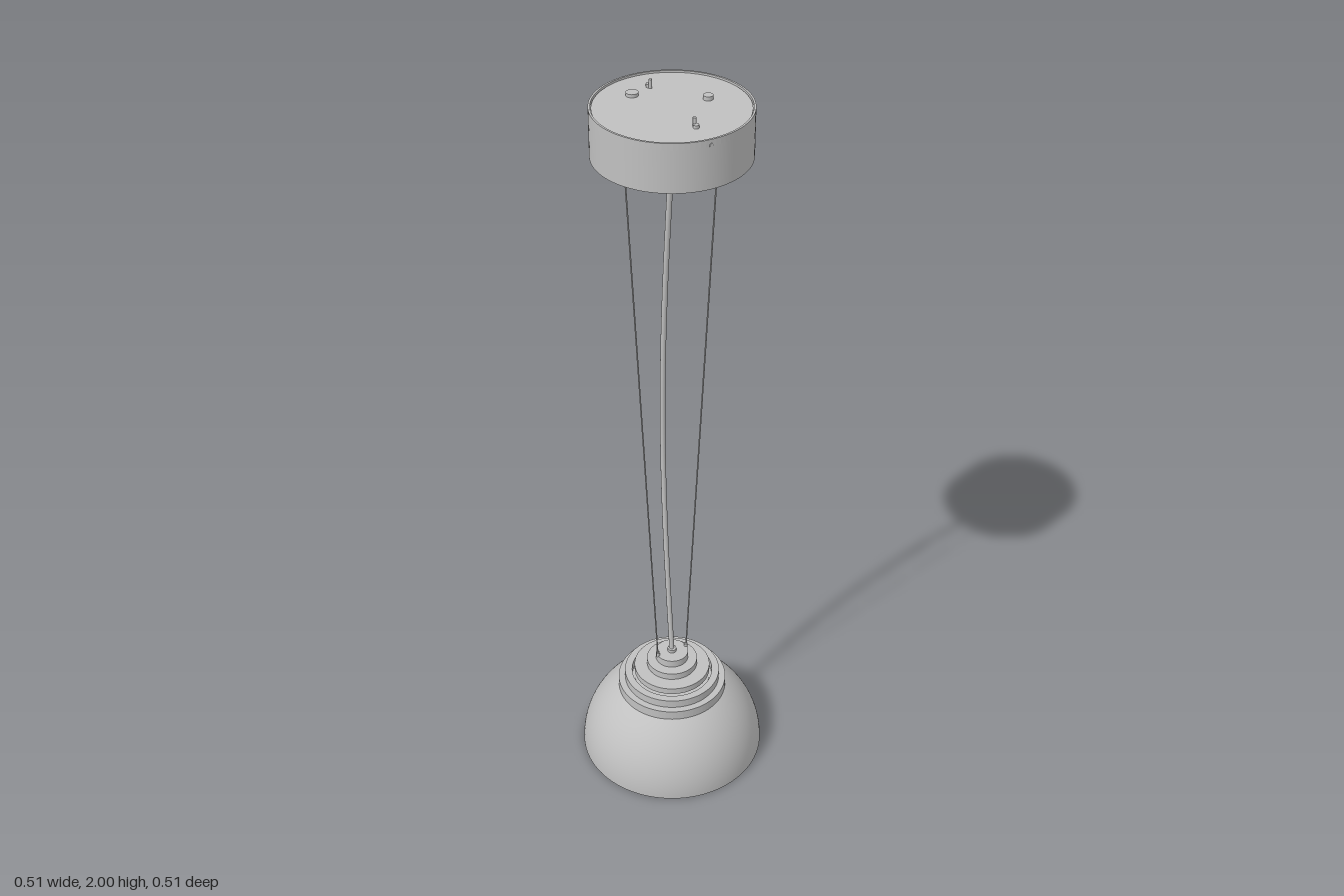
import * as THREE from 'three';

export function createModel() {
  const lamp = new THREE.Group();
  lamp.name = 'pendantLamp';
  const grey = new THREE.MeshStandardMaterial({ color: 0xc0c0c0 });
  grey.name = 'satin grey';

  const add = (name, geometry, x = 0, y = 0, z = 0) => {
    const mesh = new THREE.Mesh(geometry, grey);
    mesh.name = name;
    mesh.position.set(x, y, z);
    lamp.add(mesh);
    return mesh;
  };
  // Upright cylinder given by its bottom and top heights
  const disc = (name, r, y0, y1, x = 0, z = 0, sides = 64) =>
    add(name, new THREE.CylinderGeometry(r, r, y1 - y0, sides), x, (y0 + y1) / 2, z);
  // Ring with a rectangular section, hard edges kept by separate wall faces
  const ring = (name, ri, ro, y0, y1) => {
    const shape = new THREE.Shape().absarc(0, 0, ro, 0, Math.PI * 2);
    shape.holes.push(new THREE.Path().absarc(0, 0, ri, 0, Math.PI * 2, true));
    const g = new THREE.ExtrudeGeometry(shape, { depth: y1 - y0, bevelEnabled: false, curveSegments: 48 });
    g.rotateX(-Math.PI / 2);
    return add(name, g, 0, y0, 0);
  };
  // Arc of a dome from radius r at the rim up to height top
  const dome = (r, top) => {
    const end = Math.asin(top / r), pts = [];
    for (let i = 0; i <= 24; i++) {
      const a = (end * i) / 24;
      pts.push(new THREE.Vector2(r * Math.cos(a), r * Math.sin(a)));
    }
    return pts;
  };

  // Thick hemispherical shade: outside, inside and flat lower rim
  add('shadeOutside', new THREE.LatheGeometry(dome(0.254, 0.207), 96));
  add('shadeInside', new THREE.LatheGeometry(dome(0.226, 0.205).reverse(), 96));
  add('shadeRim', new THREE.RingGeometry(0.226, 0.254, 96).rotateX(Math.PI / 2));

  // Stepped vented crown
  ring('crownBaseRing', 0.095, 0.15, 0.205, 0.233);
  ring('crownUpperRing', 0.112, 0.132, 0.233, 0.257);
  disc('crownFloor', 0.105, 0.222, 0.236);
  disc('crownWideStep', 0.105, 0.258, 0.277);
  disc('crownMiddleStep', 0.07, 0.28, 0.3);
  disc('crownTopStep', 0.045, 0.303, 0.325);
  disc('crownCore', 0.035, 0.23, 0.31);

  // Lamp stem with its lower diffuser disc
  disc('lampStem', 0.017, 0.02, 0.225, 0, 0, 32);
  ring('diffuserDisc', 0.01, 0.07, 0.006, 0.022);

  // Ceiling canopy: body, raised lip and slightly sunken lid
  disc('canopyBody', 0.19, 1.86, 1.965, 0, 0, 96);
  ring('canopyLip', 0.185, 0.19, 1.965, 1.982);
  disc('canopyLid', 0.183, 1.965, 1.978, 0, 0, 96);
  disc('lidBossSide', 0.012, 1.978, 1.988, 0.092, 0, 24);
  disc('lidBossRear', 0.015, 1.978, 1.986, -0.054, -0.095, 24);

  for (const s of [1, -1]) {
    // Mounting studs and side screws, front and back
    disc('mountingStud', 0.004, 1.978, 2, 0, s * 0.11, 12);
    disc('studNut', 0.007, 1.978, 1.986, 0, s * 0.118, 12);
    add('canopyScrew', new THREE.CylinderGeometry(0.005, 0.005, 0.006, 16).rotateX(Math.PI / 2), 0, 1.968, s * 0.189);

    // Suspension wires with grips
    const wire = new THREE.LineCurve3(
      new THREE.Vector3(s * 0.043, 0.31, 0), new THREE.Vector3(s * 0.122, 1.862, 0));
    add('suspensionWire', new THREE.TubeGeometry(wire, 1, 0.002, 8));
    disc('wireGripTop', 0.005, 1.846, 1.862, s * 0.121, 0, 12);
    disc('wireGripBottom', 0.005, 0.322, 0.335, s * 0.043, 0, 12);
  }

  // Slack power cord bowing backwards
  const cordPoints = [];
  for (let i = 0; i <= 8; i++) {
    const t = i / 8;
    cordPoints.push(new THREE.Vector3(0, 0.32 + 1.545 * t, -0.053 * Math.sin(Math.PI * t)));
  }
  add('powerCord', new THREE.TubeGeometry(new THREE.CatmullRomCurve3(cordPoints), 48, 0.007, 12));
  disc('cordGlandBottom', 0.012, 0.322, 0.335, 0, 0, 24);

  return lamp;
}
